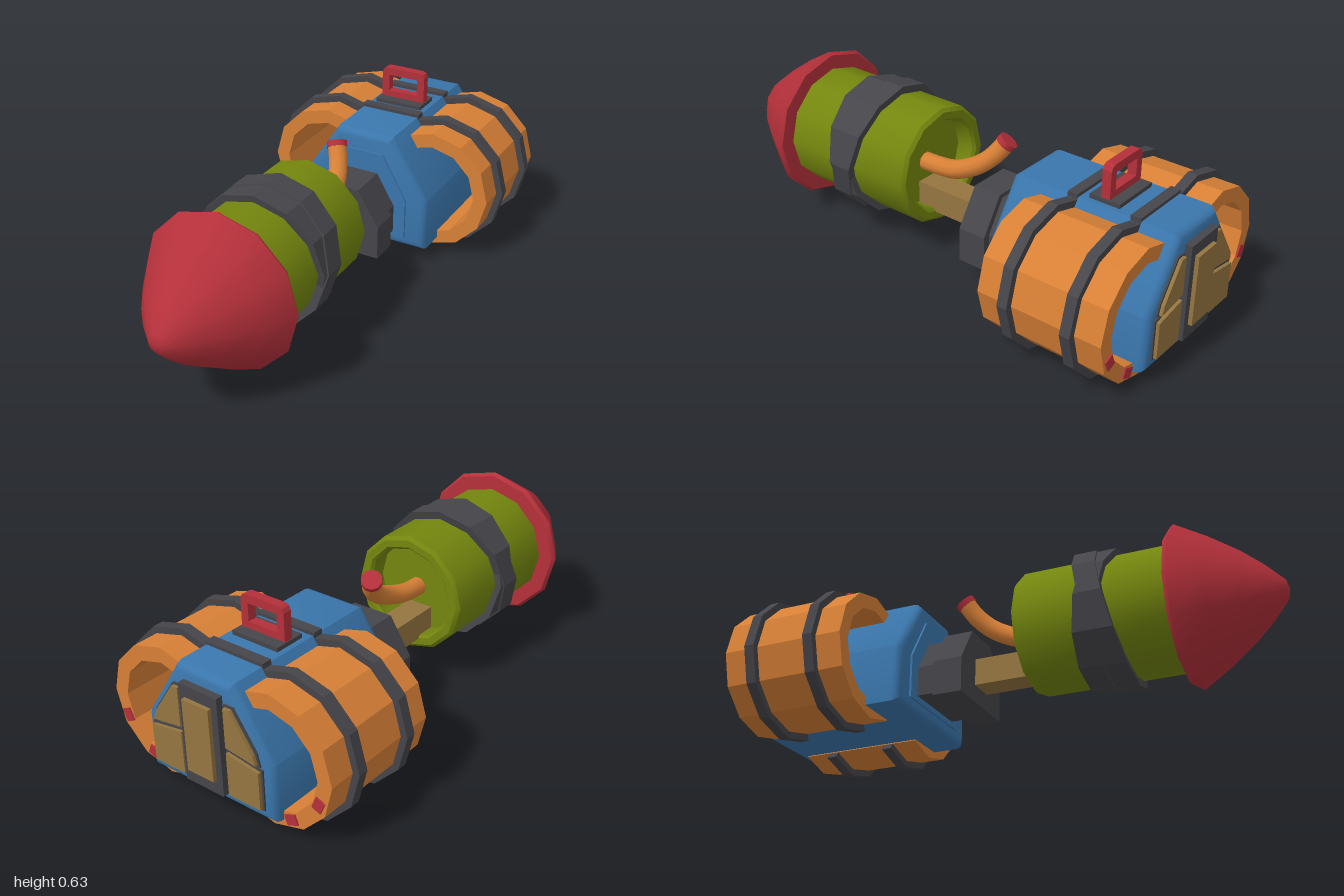
import * as THREE from 'three';
import { toCreasedNormals } from 'three/addons/utils/BufferGeometryUtils.js';

const mat = (name, color) => Object.assign(new THREE.MeshStandardMaterial({ color }), { name });

export function createModel() {
  const red = mat('red', 0xb4303a), blue = mat('blue', 0x3a76ac), orange = mat('orange', 0xd88036);
  const green = mat('olive green', 0x74860e), brown = mat('brown', 0x94753f), dark = mat('charcoal', 0x45454a);
  const model = new THREE.Group();

  const add = (name, geo, material, x = 0, y = 0, z = 0) => {
    const m = new THREE.Mesh(geo, material);
    m.name = name;
    m.position.set(x, y, z);
    model.add(m);
    return m;
  };
  const box = (name, material, w, h, d, x, y, z) => add(name, new THREE.BoxGeometry(w, h, d), material, x, y, z);
  const poly = pts => new THREE.Shape(pts.map(p => new THREE.Vector2(p[0], p[1])));
  // Extrude a front-facing outline between two z values
  const slab = (name, shape, material, z0, z1, bevel = 0) => {
    const geo = new THREE.ExtrudeGeometry(shape, {
      depth: z1 - z0 - 2 * bevel, bevelEnabled: bevel > 0, bevelSize: bevel, bevelThickness: bevel,
      bevelOffset: -bevel, bevelSegments: 3, curveSegments: 4
    });
    return add(name, bevel ? toCreasedNormals(geo, 0.6) : geo, material, 0, 0, z0 + bevel);
  };
  // Twelve-sided turned part lying along z; profile is [radius, z]
  const turned = (profile) => toCreasedNormals(
    new THREE.LatheGeometry(profile.map(p => new THREE.Vector2(p[0], p[1])), 12).rotateX(Math.PI / 2), 0.6);
  // House-like section: upright sides, sloping shoulders, flat top
  const house = (w, y0, yShoulder, wTop, y1) =>
    poly([[-w, y0], [w, y0], [w, yShoulder], [wTop, y1], [-wTop, y1], [-w, yShoulder]]);

  // Front barrel with a recessed rear, and its nose
  const axisY = 0.34;
  add('barrel', turned([[0, 0.16], [0.175, 0.16], [0.175, 0.09], [0.185, 0.08], [0.212, 0.08], [0.225, 0.092],
    [0.225, 0.66]]), green, 0, axisY, 0);
  add('noseCone', turned([[0, 0.64], [0.28, 0.64], [0.29, 0.655], [0.228, 0.76], [0.158, 0.86], [0.098, 0.93],
    [0.035, 0.99], [0, 1]]), red, 0, axisY, 0);

  // Two crossed straps, slanted along the barrel
  for (const [slope, yaw, r] of [[0.15, 0.03, 0.25], [-0.21, -0.04, 0.256]]) {
    const geo = new THREE.LatheGeometry([[0.215, -0.042], [r, -0.042], [r, 0.042], [0.215, 0.042]]
      .map(p => new THREE.Vector2(p[0], p[1])), 12).rotateX(Math.PI / 2);
    const p = geo.attributes.position;
    for (let i = 0; i < p.count; i++) p.setZ(i, p.getZ(i) + slope * p.getY(i) + yaw * p.getX(i));
    add('barrelStrap', toCreasedNormals(geo, 0.4), dark, 0, axisY, 0.37);
  }

  // Connecting shaft and stepped coupling
  box('shaft', brown, 0.1, 0.1, 0.34, 0, 0.215, 0.03);
  slab('couplingPlate', house(0.165, 0.1, 0.23, 0.08, 0.365), dark, -0.24, -0.13);
  slab('couplingNeck', house(0.138, 0.12, 0.23, 0.065, 0.35), dark, -0.34, -0.24);

  // Curved pipe with a red tip
  const path = new THREE.CatmullRomCurve3([[0.01, 0.335, 0.18], [0.012, 0.34, 0.08], [0.022, 0.36, 0],
    [0.012, 0.405, -0.09], [-0.012, 0.455, -0.145], [-0.035, 0.505, -0.178]].map(p => new THREE.Vector3(...p)));
  add('pipe', new THREE.TubeGeometry(path, 20, 0.035, 10), orange);
  const end = path.getPoint(1);
  const tip = add('pipeTip', new THREE.CylinderGeometry(0.038, 0.038, 0.022, 10), red, end.x, end.y, end.z);
  tip.quaternion.setFromUnitVectors(new THREE.Vector3(0, 1, 0), path.getTangent(1));

  // Rear body and its raised front panel
  slab('body', house(0.265, 0.06, 0.27, 0.115, 0.5), blue, -0.96, -0.322, 0.03);
  slab('frontPanel', house(0.185, 0.1, 0.26, 0.085, 0.43), blue, -0.325, -0.314);

  // Open twelve-sided side shells with straps and rear lights
  const arc = (side, rOut, rIn) => {
    const pt = (r, i) => [side * (0.225 + r * Math.cos(i * Math.PI / 6)), 0.26 + r * Math.sin(i * Math.PI / 6)];
    const pts = [];
    for (let i = -4; i <= 4; i++) pts.push(pt(rOut, i));
    for (let i = 4; i >= -4; i--) pts.push(pt(rIn, i));
    return poly(pts);
  };
  const strapZ = [-0.565, -0.803];
  for (const side of [-1, 1]) {
    slab('sideShell', arc(side, 0.235, 0.18), orange, -0.918, -0.45);
    for (const z of strapZ) slab('shellStrap', arc(side, 0.26, 0.234), dark, z - 0.019, z + 0.019);
    for (const a of [-0.42, -1.2]) {
      const light = box('rearLight', red, 0.036, 0.045, 0.008, side * (0.225 + 0.2 * Math.cos(a)),
        0.26 + 0.2 * Math.sin(a), -0.92);
      light.rotation.z = side * a;
    }
    // Rear window plates
    const window = (name, pts) => slab(name, poly(pts.map(p => [side * p[0], p[1]])), brown, -0.978, -0.955);
    const frame = (name, pts) => slab(name, poly(pts.map(p => [side * p[0], p[1]])), dark, -0.966, -0.955);
    window('lowerRearPanel', [[0.095, 0.11], [0.225, 0.11], [0.225, 0.245], [0.095, 0.265]]);
    window('upperRearPanel', [[0.095, 0.285], [0.215, 0.268], [0.205, 0.3], [0.12, 0.425], [0.095, 0.425]]);
    frame('lowerRearTrim', [[0.088, 0.103], [0.232, 0.103], [0.232, 0.252], [0.088, 0.272]]);
    frame('upperRearTrim', [[0.088, 0.278], [0.224, 0.26], [0.212, 0.304], [0.125, 0.432], [0.088, 0.432]]);
  }
  for (const z of strapZ) box('topStrap', dark, 0.24, 0.03, 0.038, 0, 0.497, z);

  // Rear door in a stepped frame
  box('doorFrame', dark, 0.16, 0.355, 0.035, 0, 0.278, -0.968);
  box('door', brown, 0.11, 0.26, 0.03, 0, 0.283, -0.985);

  // Carrying handle on its base
  box('handleBase', dark, 0.19, 0.03, 0.115, 0, 0.5, -0.67);
  const handle = poly([[-0.09, 0.505], [0.09, 0.505], [0.09, 0.615], [0.083, 0.629], [0.07, 0.635],
    [-0.07, 0.635], [-0.083, 0.629], [-0.09, 0.615]]);
  handle.holes.push(poly([[-0.06, 0.54], [-0.06, 0.605], [0.06, 0.605], [0.06, 0.54]]));
  slab('handle', handle, red, -0.687, -0.653);

  return model;
}
